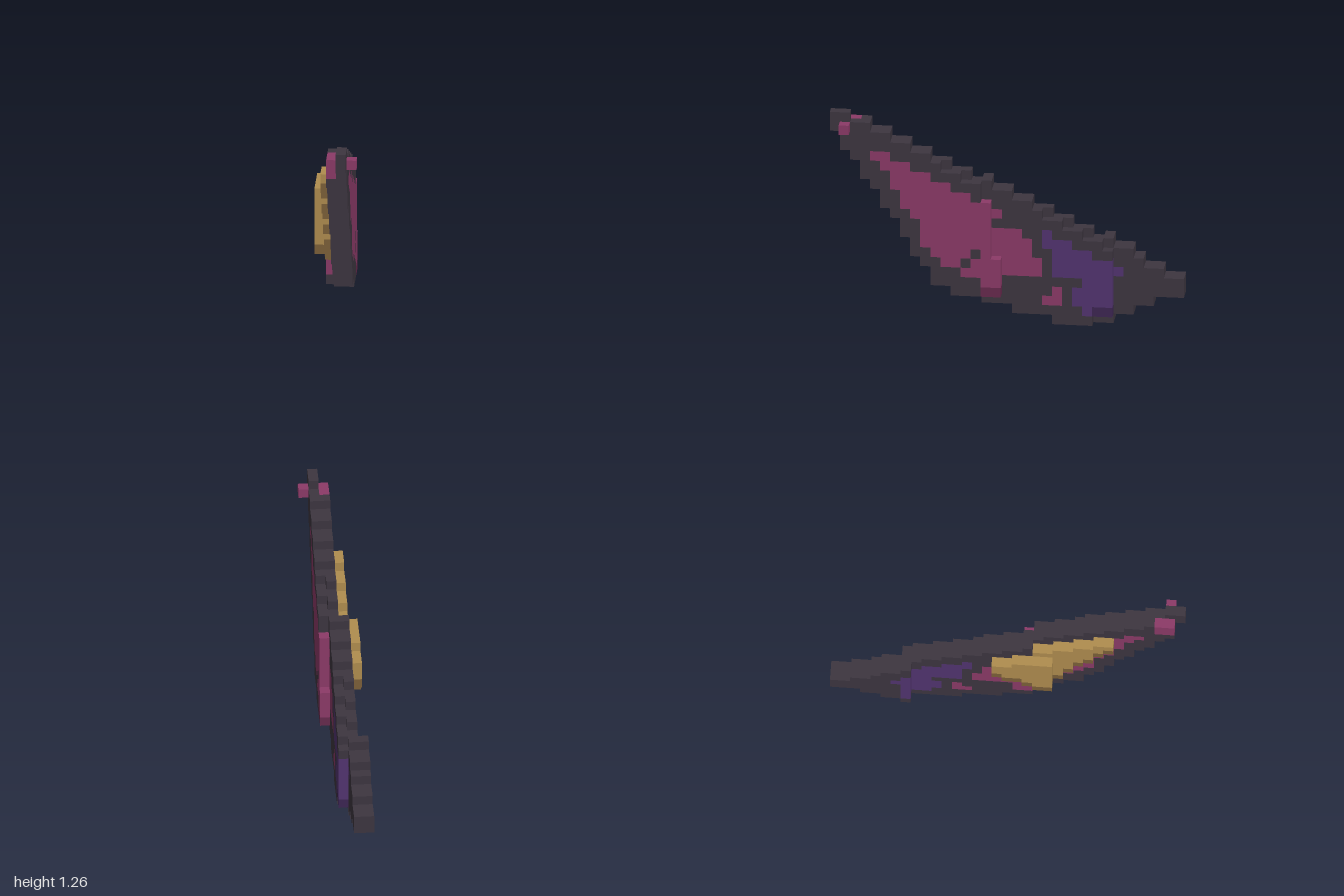
import * as THREE from 'three';
import { mergeGeometries } from 'three/addons/utils/BufferGeometryUtils.js';

const S = 2 / 35; // cube size: 5 layers in x, 22 rows in y, 35 columns from front to back

// First and one-past-last column of each row of the wing outline, bottom row first
const START = [22, 18, 15, 12, 10, 10, 9, 8, 8, 7, 7, 6, 5, 5, 4, 3, 3, 2, 1, 1, 0, 0];
const END = [28, 30, 32, 35, 35, 33, 31, 30, 28, 26, 24, 22, 20, 18, 16, 14, 12, 10, 8, 6, 4, 2];

// Painted patches: row -> inclusive column spans
const PINK = {
  17: [[4, 5]], 16: [[5, 7]], 15: [[6, 9]], 14: [[6, 11]], 13: [[7, 13]], 12: [[7, 15]], 11: [[8, 16]],
  10: [[9, 15]], 9: [[9, 18]], 8: [[9, 19]], 7: [[10, 13], [15, 19]], 6: [[11, 12], [14, 20]],
  5: [[13, 20]], 4: [[15, 16]], 3: [[15, 16], [22, 22]], 2: [[21, 22]],
};
const PURPLE = {
  9: [[21, 21]], 8: [[21, 23]], 7: [[22, 25]], 6: [[22, 27]], 5: [[22, 28]],
  4: [[25, 27]], 3: [[24, 27]], 2: [[24, 27]], 1: [[25, 27]],
};
const inSpans = (map, j, k) => (map[j] || []).some(([a, b]) => k >= a && k <= b);

// Wing plate, two cubes thick, stepping sideways towards the back
function isPlate(i, j, k) {
  if (j < 0 || j > 21 || k < START[j] || k >= END[j]) return false;
  const last = k === END[j] - 1;
  if (i === 3) {
    if (j < 3 || k >= (j < 7 ? 17 : j < 13 ? 16 : 15)) return false;
    return !(last && j >= 14 && j <= 16);
  }
  if (i === 2) {
    if (k < 1 || k >= 28 || j > 20 || (j === 0 && k >= 26)) return false;
    return !(last && j >= 8 && j <= 11) && !(k < 3 && j > 18);
  }
  if (i === 1) return k >= 15;
  return i === 0 && k >= 27;
}

// Raised golden rib on the -x side
function isRib(i, j, k) {
  if (i === 1) return j >= 5 && j <= 16 && k >= START[j] + 4 && k < Math.min(15, END[j] - 3);
  if (i === 0) return k >= 13 && k <= 18 && j >= 6 + Math.floor((k - 13) * 0.7) && j <= (k < 17 ? 12 : 11);
  return false;
}

// Small studs on both sides of the tip
function isStud(i, j, k) {
  return (i === 4 && j === 20 && k === 1) || (i === 2 && (j === 19 || j === 20) && (k === 1 || k === 2));
}

function partAt(i, j, k) {
  if (isStud(i, j, k)) return 'tipStud';
  if (isRib(i, j, k)) return 'rib';
  if (!isPlate(i, j, k)) return null;
  if (inSpans(PINK, j, k)) return 'pinkPatch';
  if (inSpans(PURPLE, j, k)) return 'purplePatch';
  return 'wing';
}

// Six square faces of a cube with their neighbour directions (column index runs towards -z)
const FACES = [
  [1, 0, 0, (g) => g.rotateY(Math.PI / 2)], [-1, 0, 0, (g) => g.rotateY(-Math.PI / 2)],
  [0, 1, 0, (g) => g.rotateX(-Math.PI / 2)], [0, -1, 0, (g) => g.rotateX(Math.PI / 2)],
  [0, 0, -1, (g) => g], [0, 0, 1, (g) => g.rotateY(Math.PI)],
].map(([x, y, k, turn]) => ({
  x, y, k,
  geometry: turn(new THREE.PlaneGeometry(S, S)).translate((x * S) / 2, (y * S) / 2, (-k * S) / 2),
}));

export function createModel() {
  const mat = (name, color) => {
    const m = new THREE.MeshStandardMaterial({ color });
    m.name = name;
    return m;
  };
  const charcoal = mat('charcoal', 0x3d3640);
  const pink = mat('pink', 0x8c3a68), deepPink = mat('deepPink', 0x672a4d);
  const gold = mat('gold', 0xb08d4f), deepGold = mat('deepGold', 0x7d6039);
  const purple = mat('purple', 0x523470), deepPurple = mat('deepPurple', 0x3d2653);

  // Each part: main colour and the deeper colour of its lowest cubes
  const parts = {
    wing: [charcoal, charcoal],
    rib: [gold, deepGold],
    tipStud: [pink, pink],
    pinkPatch: [pink, deepPink],
    purplePatch: [purple, deepPurple],
  };

  // Collect only the outer faces of the cubes
  const faces = {};
  for (let i = 0; i < 5; i++) for (let j = 0; j < 22; j++) for (let k = 0; k < 35; k++) {
    const part = partAt(i, j, k);
    if (!part) continue;
    const low = !partAt(i, j - 1, k) && parts[part][0] !== parts[part][1];
    const key = low ? part + 'LowerEdge' : part;
    for (const f of FACES) {
      if (partAt(i + f.x, j + f.y, k + f.k)) continue;
      (faces[key] ||= []).push(f.geometry.clone().translate((i - 2) * S, (j + 0.5) * S, (17 - k) * S));
    }
  }

  const group = new THREE.Group();
  group.name = 'blockWing';
  for (const [part, [main, deep]] of Object.entries(parts)) {
    for (const [name, material] of [[part, main], [part + 'LowerEdge', deep]]) {
      if (!faces[name]) continue;
      const mesh = new THREE.Mesh(mergeGeometries(faces[name]), material);
      mesh.name = name;
      group.add(mesh);
    }
  }
  return group;
}
